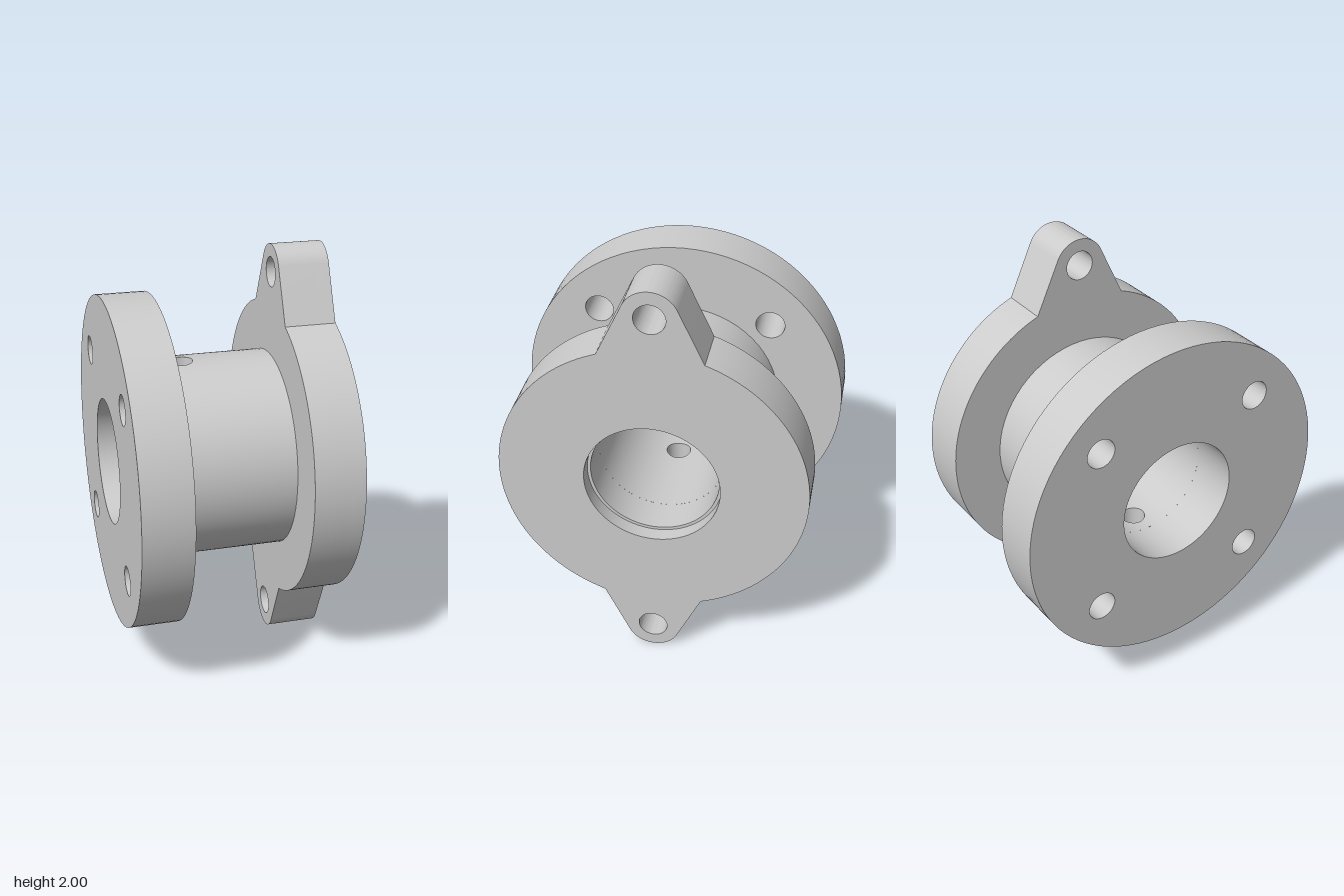
import * as THREE from 'three';
import { toCreasedNormals } from 'three/addons/utils/BufferGeometryUtils.js';
import { ParametricGeometry } from 'three/addons/geometries/ParametricGeometry.js';

const BORE = 0.3, HUB = 0.475, X0 = -0.28, X1 = 0.275; // hub radii and ends
const PIN = { x: -0.16, r: 0.06 };                     // radial cross hole

const material = new THREE.MeshStandardMaterial({ color: 0xcccccc });

function part(name, geometry) {
  const mesh = new THREE.Mesh(geometry, material);
  mesh.name = name;
  return mesh;
}

function circle(x, y, r) {
  return new THREE.Path().absarc(x, y, r, 0, Math.PI * 2, true);
}

// Plate with holes, extruded along x from one position to another
function plate(name, shape, holes, from, to) {
  shape.holes = holes;
  const geo = new THREE.ExtrudeGeometry(shape, { depth: to - from, bevelEnabled: false, curveSegments: 48 });
  geo.rotateY(Math.PI / 2).translate(from, 0, 0);
  return part(name, toCreasedNormals(geo, 0.35));
}

// Round flange with two tapered ears
function earedShape() {
  const R = 0.715, earY = 0.87, earR = 0.13;
  const a = Math.atan2(0.675, 0.235), t = THREE.MathUtils.degToRad(25.1), PI = Math.PI;
  const s = new THREE.Shape();
  s.absarc(0, 0, R, -a, a, false);
  s.absarc(0, earY, earR, t, PI - t, false);
  s.absarc(0, 0, R, PI - a, PI + a, false);
  s.absarc(0, -earY, earR, PI + t, 2 * PI - t, false);
  s.closePath();
  return s;
}

// Walks round the square [-1, 1] x [-1, 1]
function square(u) {
  const s = u * 4, k = Math.floor(s) % 4, f = (s - Math.floor(s)) * 2 - 1;
  return [[1, f], [-f, 1], [-1, -f], [f, -1]][k];
}

// Half of a cylinder skin, pierced by the cross hole
function piercedHalf(r, inward) {
  return new ParametricGeometry((u, v, p) => {
    const [a, b] = square(inward ? 1 - u : u);
    const phi = Math.atan2(b, a);
    const x = THREE.MathUtils.lerp(PIN.x + PIN.r * Math.cos(phi), a > 0 ? THREE.MathUtils.lerp((X0 + X1) / 2, X1, a) : THREE.MathUtils.lerp((X0 + X1) / 2, X0, -a), v);
    const theta = THREE.MathUtils.lerp(Math.asin(PIN.r * Math.sin(phi) / r), b * Math.PI / 2, v);
    p.set(x, r * Math.cos(theta), r * Math.sin(theta));
  }, 128, 28);
}

// Wall of the cross hole between bore and hub surface
function pinWall() {
  return new ParametricGeometry((u, v, p) => {
    const [a, b] = square(u);
    const phi = Math.atan2(b, a), z = PIN.r * Math.sin(phi);
    const y = THREE.MathUtils.lerp(Math.sqrt(BORE ** 2 - z * z), Math.sqrt(HUB ** 2 - z * z), v);
    p.set(PIN.x + PIN.r * Math.cos(phi), y, z);
  }, 128, 1);
}

export function createModel() {
  const model = new THREE.Group();
  model.name = 'flangedHub';
  const body = new THREE.Group();
  body.name = 'body';
  body.position.y = 1;
  model.add(body);

  // Round flange with four bolt holes
  const disc = new THREE.Shape().absarc(0, 0, 0.79, 0, Math.PI * 2, false);
  const bolts = [[1, 1], [-1, 1], [-1, -1], [1, -1]].map(([i, j]) => circle(i * 0.42, j * 0.42, 0.07));
  body.add(plate('roundFlange', disc, [circle(0, 0, BORE), ...bolts], -0.515, X0));

  // Eared flange in two layers, the outer one with a wider recess
  const earHoles = () => [circle(0, 0.87, 0.07), circle(0, -0.87, 0.07)];
  body.add(plate('earedFlange', earedShape(), [circle(0, 0, BORE), ...earHoles()], X1, 0.445));
  body.add(plate('earedFlangeFace', earedShape(), [circle(0, 0, 0.315), ...earHoles()], 0.445, 0.515));

  // Hub tube, two matching halves each with a cross hole
  for (const side of [0, 1]) {
    const half = new THREE.Group();
    half.name = side ? 'lowerHub' : 'upperHub';
    half.rotation.x = side * Math.PI;
    half.add(
      part('hubSurface', piercedHalf(HUB, false)),
      part('boreSurface', piercedHalf(BORE, true)),
      part('crossHole', pinWall())
    );
    body.add(half);
  }
  return model;
}
